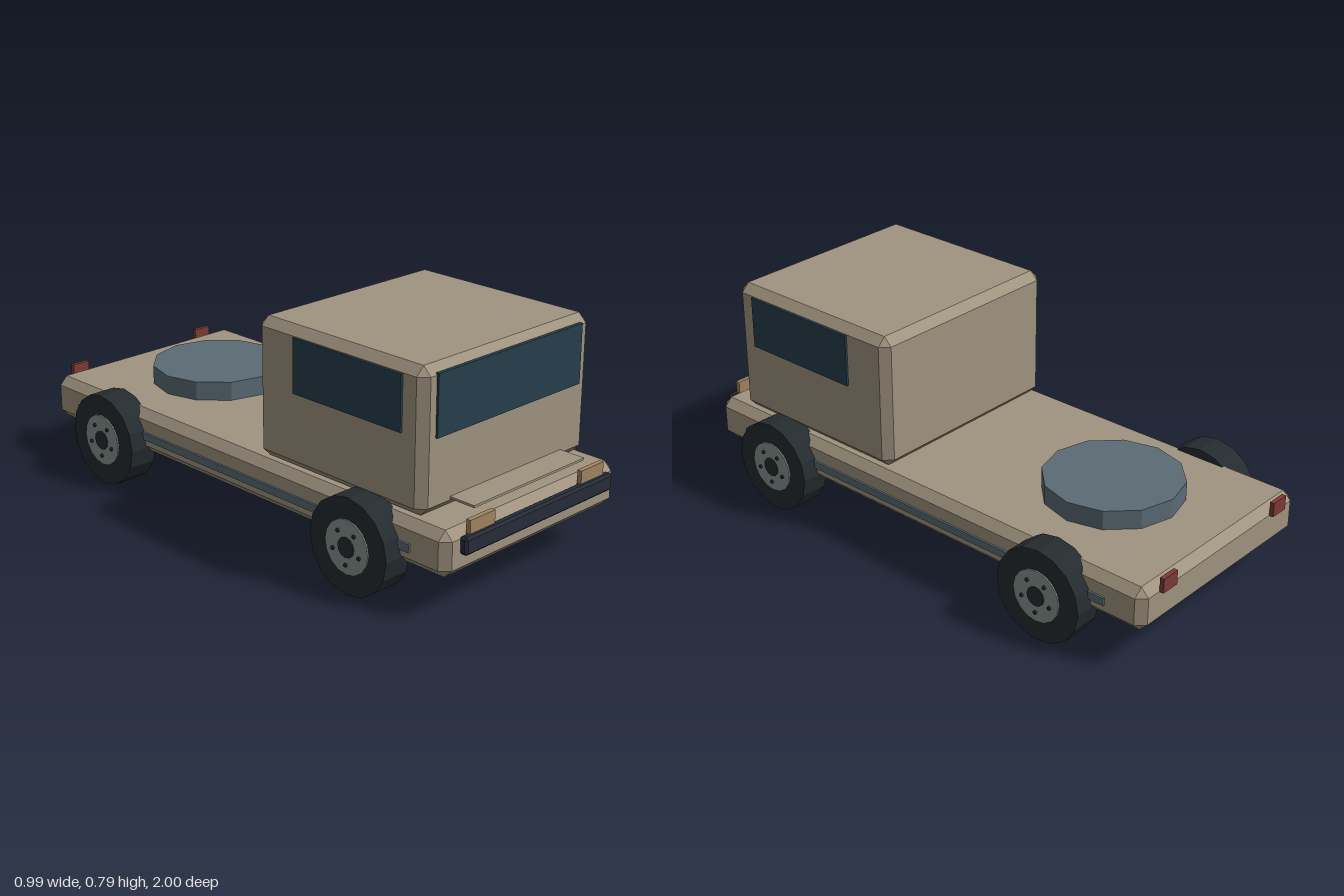
import * as THREE from 'three';
import { ConvexGeometry } from 'three/addons/geometries/ConvexGeometry.js';

const material = (color) => new THREE.MeshStandardMaterial({ color, flatShading: true });

// Box with chamfered edges, given its extents and chamfer size
function chamferBox(w, h, d, c) {
  const pts = [];
  for (const x of [-1, 1]) for (const y of [-1, 1]) for (const z of [-1, 1]) {
    const [X, Y, Z] = [w / 2, h / 2, d / 2];
    pts.push(
      new THREE.Vector3(x * X, y * (Y - c), z * (Z - c)),
      new THREE.Vector3(x * (X - c), y * Y, z * (Z - c)),
      new THREE.Vector3(x * (X - c), y * (Y - c), z * Z));
  }
  return new ConvexGeometry(pts);
}

export function createModel() {
  const model = new THREE.Group();
  model.name = 'truck';
  const tan = material(0xa09480);
  const navy = material(0x262c38);
  const glass = material(0x263f4b);
  const steel = material(0x5b6b75);
  const rubber = material(0x252c2f);
  const rim = material(0x87928f);
  const lamp = material(0xa08560);
  const red = material(0x7d3a35);

  function add(name, geometry, mat, x, y, z, parent = model) {
    const mesh = new THREE.Mesh(geometry, mat);
    mesh.name = name;
    mesh.position.set(x, y, z);
    parent.add(mesh);
    return mesh;
  }
  // Box from min/max extents, chamfered when c > 0
  function block(name, mat, [x0, x1], [y0, y1], [z0, z1], c = 0) {
    const [w, h, d] = [x1 - x0, y1 - y0, z1 - z0];
    const geo = c ? chamferBox(w, h, d, c) : new THREE.BoxGeometry(w, h, d);
    return add(name, geo, mat, (x0 + x1) / 2, (y0 + y1) / 2, (z0 + z1) / 2);
  }

  // Main masses
  block('deck', tan, [-0.42, 0.42], [0.145, 0.302], [-0.985, 0.97], 0.03);
  block('cab', tan, [-0.4, 0.4], [0.305, 0.79], [0.115, 0.85], 0.03);
  block('underbody', navy, [-0.322, 0.322], [0.11, 0.16], [-0.9, 0.885], 0.01);

  // Front details
  block('bumper', navy, [-0.36, 0.36], [0.222, 0.283], [0.968, 1.0], 0.008);
  block('hoodPlate', tan, [-0.27, 0.27], [0.339, 0.347], [0.845, 0.948]);
  block('windshield', glass, [-0.343, 0.343], [0.56, 0.767], [0.845, 0.858]);

  // Round hatch on the rear deck
  add('hatch', new THREE.CylinderGeometry(0.243, 0.243, 0.07, 12), steel, 0, 0.336, -0.54);

  for (const s of [-1, 1]) {
    const side = s > 0 ? 'left' : 'right';
    const span = (a, b) => (s > 0 ? [a, b] : [-b, -a]);
    block(side + 'Window', glass, span(0.395, 0.408), [0.57, 0.758], [0.295, 0.765]);
    block(side + 'Rail', steel, span(0.415, 0.427), [0.198, 0.226], [-0.84, 0.825]);
    block(side + 'Headlight', lamp, span(0.212, 0.327), [0.235, 0.328], [0.967, 0.984]);
    block(side + 'TailLight', red, span(0.265, 0.335), [0.27, 0.322], [-1.0, -0.984]);

    // Wheels: the axle lies along local y, outward on the left side
    for (const z of [0.62, -0.62]) {
      const wheel = new THREE.Group();
      wheel.name = side + (z > 0 ? 'FrontWheel' : 'RearWheel');
      wheel.position.set(s * 0.432, 0.168, z);
      wheel.rotation.z = -Math.PI / 2;
      model.add(wheel);
      add('tyre', new THREE.CylinderGeometry(0.168, 0.168, 0.105, 16), rubber, 0, 0, 0, wheel);
      add('hub', new THREE.CylinderGeometry(0.094, 0.094, 0.115, 16), rim, 0, 0, 0, wheel);
      add('hubCap', new THREE.CylinderGeometry(0.035, 0.035, 0.122, 12), rubber, 0, 0, 0, wheel);
      for (let i = 0; i < 5; i++) {
        const a = (i / 5) * Math.PI * 2;
        add('bolt', new THREE.CylinderGeometry(0.007, 0.007, 0.128, 6), rubber,
          Math.cos(a) * 0.06, 0, Math.sin(a) * 0.06, wheel);
      }
    }
  }
  return model;
}
